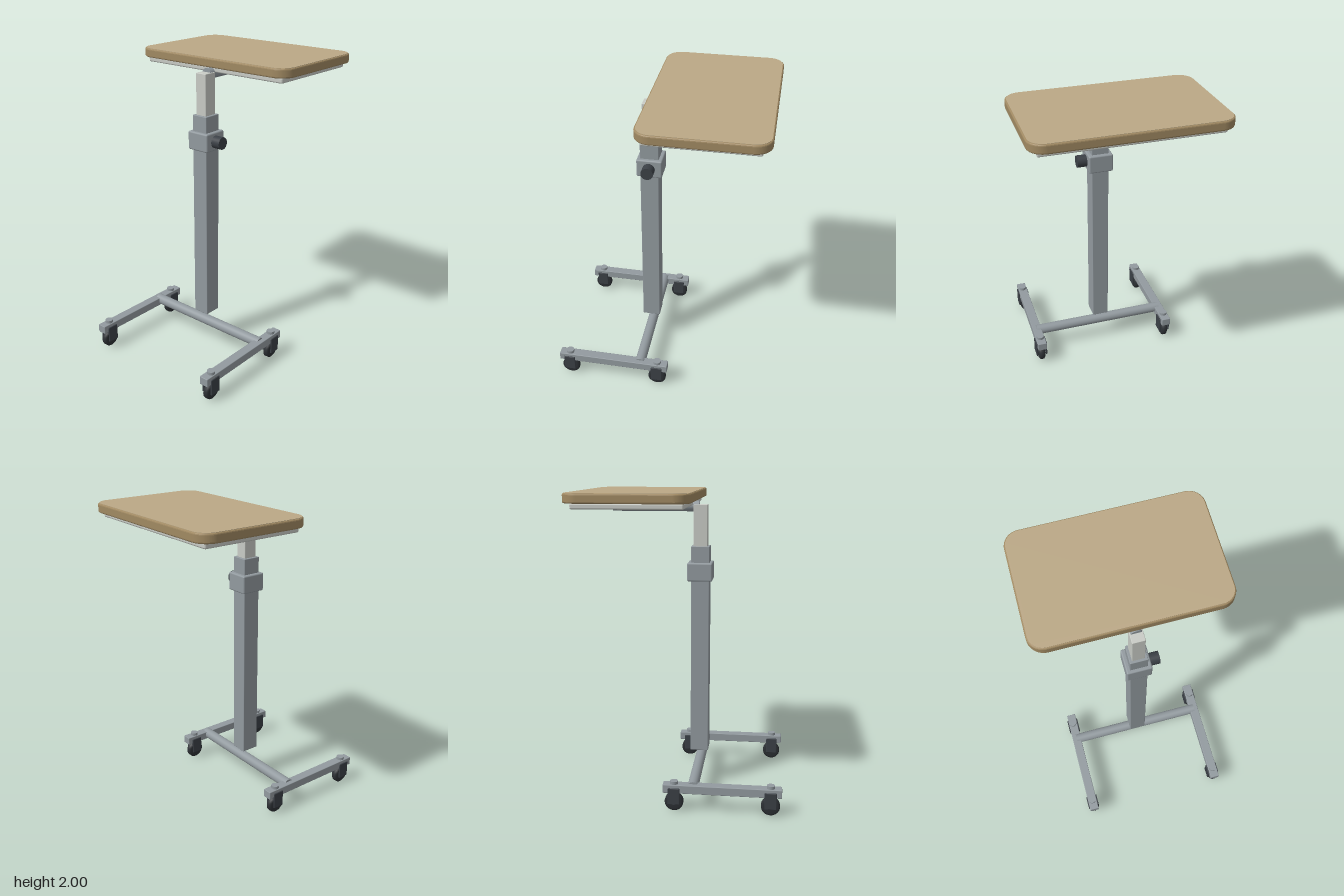
import * as THREE from 'three';
import { RoundedBoxGeometry } from 'three/addons/geometries/RoundedBoxGeometry.js';

const mat = (name, color) => {
  const m = new THREE.MeshStandardMaterial({ color });
  m.name = name;
  return m;
};

// Rounded-corner slab lying flat, from y = 0 up to height h
function slab(w, d, r, h, bevel) {
  const x = w / 2 - bevel, y = d / 2 - bevel, c = r - bevel;
  const s = new THREE.Shape();
  s.moveTo(-x + c, -y);
  s.lineTo(x - c, -y);
  s.absarc(x - c, -y + c, c, -Math.PI / 2, 0);
  s.absarc(x - c, y - c, c, 0, Math.PI / 2);
  s.absarc(-x + c, y - c, c, Math.PI / 2, Math.PI);
  s.absarc(-x + c, -y + c, c, Math.PI, Math.PI * 1.5);
  const g = new THREE.ExtrudeGeometry(s, {
    depth: h - 2 * bevel, bevelEnabled: bevel > 0, bevelThickness: bevel,
    bevelSize: bevel, bevelSegments: 3, curveSegments: 12,
  });
  return g.translate(0, 0, bevel).rotateX(-Math.PI / 2);
}

export function createModel() {
  const wood = mat('wood top', 0xbba886);
  const edge = mat('wood edge', 0xa08962);
  const steel = mat('grey steel', 0x929a9f);
  const pale = mat('pale metal', 0xc8cbc5);
  const plastic = mat('dark plastic', 0x3b4046);
  const rubber = mat('black rubber', 0x2d3135);

  const root = new THREE.Group();
  root.name = 'overbedTable';
  const add = (name, geo, material, x, y, z, parent = root) => {
    const m = new THREE.Mesh(geo, material);
    m.name = name;
    m.position.set(x, y, z);
    parent.add(m);
    return m;
  };
  const box = (w, h, d, r = 0.004) => new RoundedBoxGeometry(w, h, d, 2, r);
  const cylX = (r, l) => new THREE.CylinderGeometry(r, r, l, 32).rotateZ(Math.PI / 2);
  const cylZ = (r, l) => new THREE.CylinderGeometry(r, r, l, 32).rotateX(Math.PI / 2);

  // Tabletop with darker moulded edge, tray plate and support arm
  add('tabletopEdge', slab(1.19, 0.76, 0.1, 0.058, 0.01), edge, 0, 1.94, -0.29);
  add('tabletopSurface', slab(1.172, 0.742, 0.091, 0.004, 0), wood, 0, 1.996, -0.29);
  add('supportPlate', box(1.09, 0.035, 0.67, 0.01), pale, 0, 1.9225, -0.285);
  add('supportArm', cylZ(0.035, 0.565), steel, 0, 1.9, -0.1925);

  // Telescoping column
  add('innerPost', box(0.08, 0.34, 0.09), pale, 0, 1.74, 0.1);
  add('outerColumn', box(0.112, 1.4, 0.12), steel, 0, 0.945, 0.1);
  add('collar', box(0.16, 0.12, 0.165, 0.01), steel, 0, 1.48, 0.098);
  add('knob', cylX(0.04, 0.07), plastic, 0.107, 1.48, 0.1);

  // Base
  add('crossbar', cylX(0.035, 0.94), steel, 0, 0.16, 0.1);
  for (const side of [-1, 1]) {
    const x = side * 0.469;
    add('baseLeg', box(0.063, 0.056, 0.757), steel, x, 0.153, 0.287);
    for (const z of [0.595, -0.02]) {
      const caster = new THREE.Group();
      caster.name = 'caster';
      caster.position.set(x, 0, z);
      root.add(caster);
      add('stemCap', new THREE.CylinderGeometry(0.026, 0.026, 0.03, 24), steel, 0, 0.185, 0, caster);
      add('forkCrown', box(0.076, 0.014, 0.076), plastic, 0, 0.122, 0, caster);
      for (const s of [-1, 1]) {
        add('forkPlate', box(0.011, 0.11, 0.076), plastic, s * 0.0335, 0.105, 0, caster);
      }
      // Wheel with chamfered tread
      const profile = [[0, -0.022], [0.046, -0.022], [0.06, -0.012], [0.06, 0.012], [0.046, 0.022], [0, 0.022]]
        .map(([r, h]) => new THREE.Vector2(r, h));
      add('wheel', new THREE.LatheGeometry(profile, 32).rotateZ(Math.PI / 2), rubber, 0, 0.06, 0, caster);
      add('axle', cylX(0.012, 0.072), plastic, 0, 0.06, 0, caster);
    }
  }
  return root;
}
